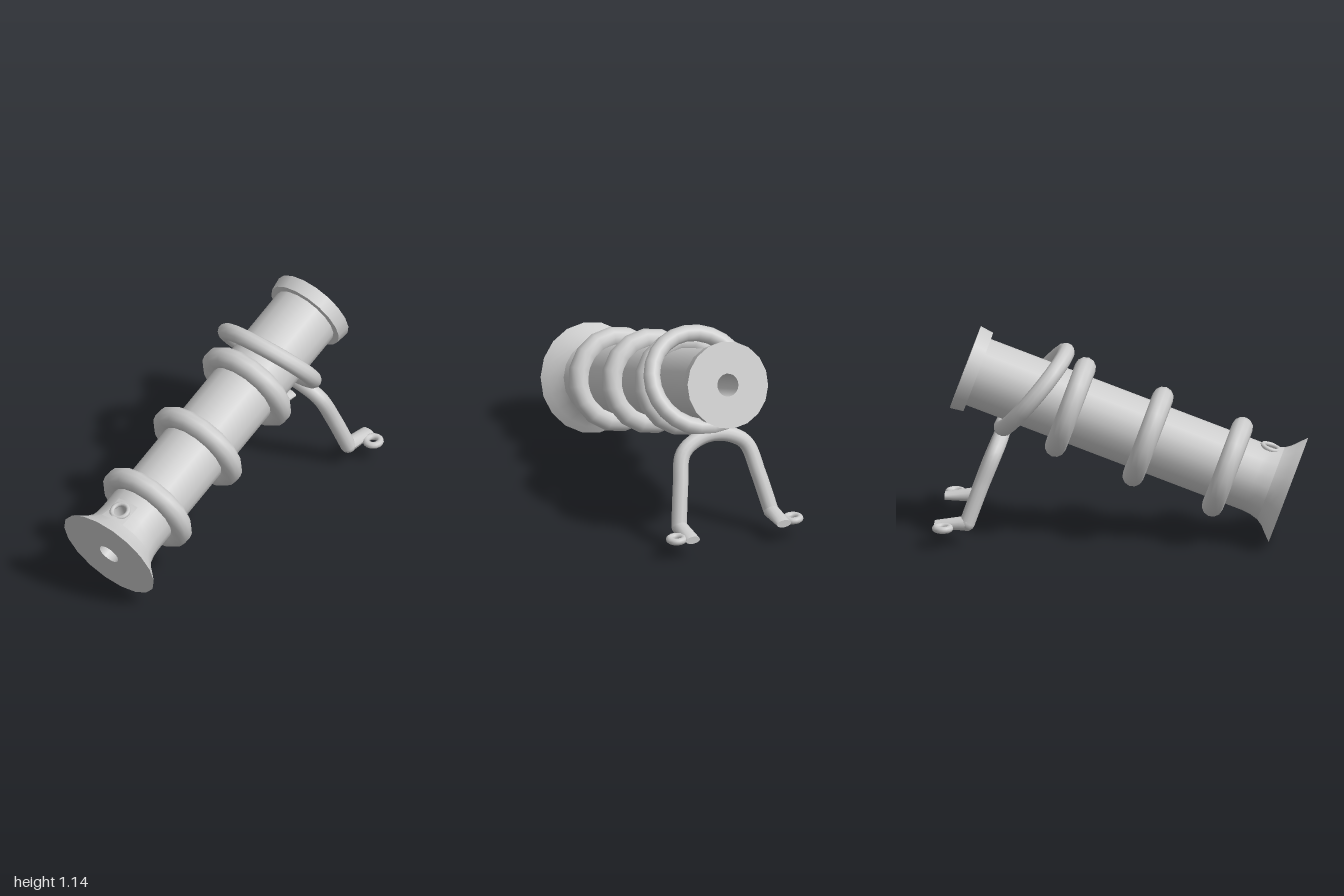
import * as THREE from 'three';

const SIDES = 18, STEP = (Math.PI * 2) / SIDES, UP = Math.PI * 1.5;
const BASE = [-0.895, 0.287, 0], TILT = THREE.MathUtils.degToRad(20);
const TUBE_R = 0.19, BORE_R = 0.062, VENT_S = 0.17, VENT_R = 0.038;
const BAND = [[0.208, 0.1], [0.194, 0.15], [0.19, 0.19], [0.19, 0.24]];

const material = new THREE.MeshStandardMaterial({ color: 0xcccccc, side: THREE.DoubleSide });

function add(parent, name, geometry, position = [0, 0, 0]) {
  const mesh = new THREE.Mesh(geometry, material);
  mesh.name = name;
  mesh.position.set(...position);
  parent.add(mesh);
  return mesh;
}

// Turned piece; profile is [radius, distance along the barrel]
function turned(profile, start = UP, segments = SIDES) {
  const points = profile.map(([r, s]) => new THREE.Vector2(r, s));
  return new THREE.LatheGeometry(points, segments, start, segments * STEP);
}

function bandRadius(s) {
  for (let i = 1; i < BAND.length; i++) {
    const [r0, s0] = BAND[i - 1], [r1, s1] = BAND[i];
    if (s <= s1 + 1e-6) return r0 + ((r1 - r0) * (s - s0)) / (s1 - s0);
  }
  return TUBE_R;
}

// Wall panel with a round opening, wrapped onto the barrel
function ventPanel() {
  const w = STEP * TUBE_R;
  const ss = BAND.map((p) => p[1]);
  const outline = [[0, ss[0]], ...ss.map((s) => [w, s]), [0, ss[3]], ...[...ss].reverse().map((s) => [-w, s])];
  const shape = new THREE.Shape(outline.map(([u, s]) => new THREE.Vector2(u, s)));
  shape.holes.push(new THREE.Path().absarc(0, VENT_S, VENT_R, 0, Math.PI * 2, true));
  const geometry = new THREE.ShapeGeometry(shape, 10);
  const p = geometry.attributes.position;
  for (let i = 0; i < p.count; i++) {
    const phi = UP + p.getX(i) / TUBE_R, s = p.getY(i), r = bandRadius(s);
    p.setXYZ(i, r * Math.sin(phi), s, r * Math.cos(phi));
  }
  geometry.computeVertexNormals();
  return geometry;
}

function createBarrel() {
  const barrel = new THREE.Group();
  barrel.name = 'barrel';
  barrel.position.set(...BASE);
  barrel.rotation.z = TILT - Math.PI / 2;

  add(barrel, 'baseFace', turned([[BORE_R, 0], [0.3, 0]]));
  add(barrel, 'flare', turned([[0.3, 0], [0.265, 0.035], [0.23, 0.068], BAND[0]]));
  add(barrel, 'ventBand', turned(BAND, UP + STEP, SIDES - 2));
  add(barrel, 'ventPanel', ventPanel());
  add(barrel, 'tube', turned([[TUBE_R, 0.24], [TUBE_R, 1.785]]));
  add(barrel, 'muzzleStep', turned([[TUBE_R, 1.785], [0.226, 1.785]]));
  add(barrel, 'muzzleRim', turned([[0.226, 1.785], [0.236, 1.86]]));
  add(barrel, 'muzzleFace', turned([[0.236, 1.86], [BORE_R, 1.86]]));
  add(barrel, 'bore', turned([[BORE_R, 1.86], [BORE_R, 0]]));

  // Vent with a small raised collar
  const collar = add(barrel, 'ventCollar', new THREE.TorusGeometry(0.046, 0.013, 8, 16), [-TUBE_R, VENT_S, 0]);
  collar.rotation.y = Math.PI / 2;
  const shaft = add(barrel, 'ventShaft', new THREE.CylinderGeometry(VENT_R, VENT_R, 0.13, 16, 1, true), [-0.125, VENT_S, 0]);
  shaft.rotation.z = Math.PI / 2;

  // Three rings around the barrel
  for (const s of [0.351, 0.808, 1.255]) {
    const ring = add(barrel, 'barrelRing', new THREE.TorusGeometry(0.227, 0.058, 12, 16), [0, s, 0]);
    ring.rotation.x = Math.PI / 2;
  }
  return barrel;
}

function createStand() {
  const stand = new THREE.Group();
  stand.name = 'stand';

  // Slanted ring holding the barrel
  const ring = add(stand, 'supportRing', new THREE.TorusGeometry(0.268, 0.046, 12, 24), [0.48, 0.808, 0]);
  ring.rotation.set(0, Math.PI / 2, Math.atan2(0.34, 0.41), 'ZYX');

  // Arched pair of legs in one bent rod
  const half = [[0.815, 0.128, 0.272], [0.744, 0.325, 0.231], [0.68, 0.485, 0.187], [0.658, 0.54, 0.105]];
  const path = [...half, [0.652, 0.561, 0], ...half.map(([x, y, z]) => [x, y, -z]).reverse()];
  const curve = new THREE.CatmullRomCurve3(path.map((p) => new THREE.Vector3(...p)));
  add(stand, 'legs', new THREE.TubeGeometry(curve, 48, 0.042, 12));

  for (const side of [1, -1]) {
    add(stand, 'ankle', new THREE.SphereGeometry(0.042, 12, 8), [0.815, 0.128, side * 0.272]);

    // Foot flattening towards its end
    const foot = new THREE.CylinderGeometry(0.042, 0.042, 0.175, 12, 4);
    foot.rotateZ(-Math.PI / 2);
    const p = foot.attributes.position;
    for (let i = 0; i < p.count; i++) {
      const t = p.getX(i) / 0.175 + 0.5;
      p.setY(i, p.getY(i) * (1 - 0.5 * t) - 0.012 * t);
    }
    foot.computeVertexNormals();
    add(stand, 'foot', foot, [0.9025, 0.128, side * 0.27]);

    // Fixing eyelet beside the foot
    const eyelet = add(stand, 'eyelet', new THREE.TorusGeometry(0.039, 0.019, 10, 18), [0.94, 0.117, side * 0.344]);
    eyelet.rotation.x = Math.PI / 2;
  }
  return stand;
}

export function createModel() {
  const model = new THREE.Group();
  model.name = 'tiltedBarrelOnStand';
  model.add(createBarrel(), createStand());
  return model;
}
